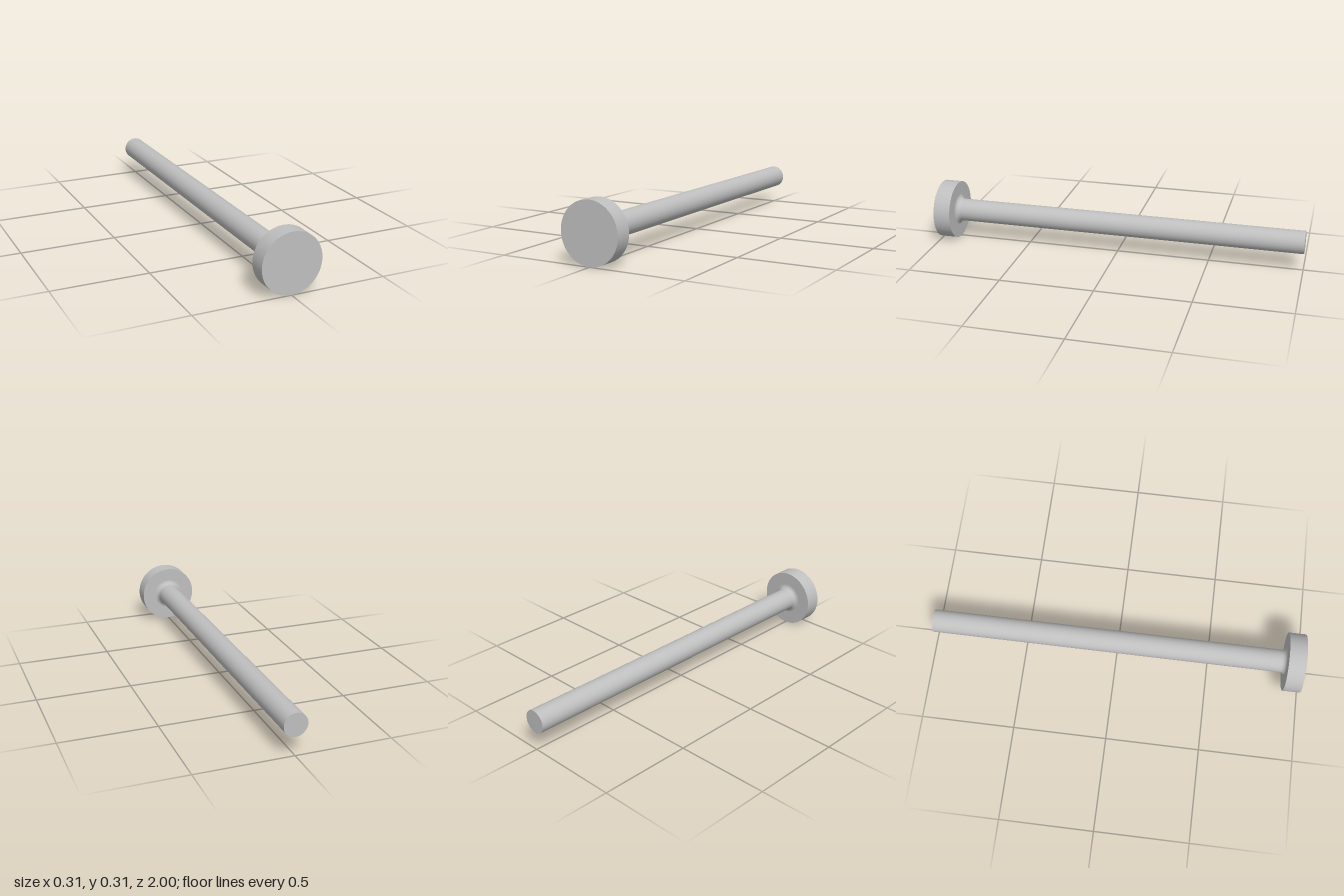
import * as THREE from 'three';

export function createModel() {
  const group = new THREE.Group();
  group.name = 'headedPin';
  const steel = new THREE.MeshStandardMaterial({ color: 0xbfbfbf });
  steel.name = 'steel grey';

  const SEG = 64;
  const headR = 0.157, shaftR = 0.061, filletR = 0.026;
  const back = -1, headBack = 0.908, front = 1;

  // Geometries are made along y, then turned so that y becomes z
  const add = (name, geometry, z = 0) => {
    const mesh = new THREE.Mesh(geometry.rotateX(Math.PI / 2), steel);
    mesh.name = name;
    mesh.position.set(0, headR, z);
    group.add(mesh);
  };

  // Round head
  add('head', new THREE.CylinderGeometry(headR, headR, front - headBack, SEG), (front + headBack) / 2);

  // Straight shaft, ending where the fillet starts
  const shaftEnd = headBack - filletR;
  add('shaft', new THREE.CylinderGeometry(shaftR, shaftR, shaftEnd - back, SEG), (shaftEnd + back) / 2);

  // Concave fillet blending the shaft into the head
  const profile = [];
  for (let i = 0; i <= 12; i++) {
    const a = (i / 12) * Math.PI / 2;
    profile.push(new THREE.Vector2(
      shaftR + filletR * (1 - Math.cos(a)),
      shaftEnd + filletR * Math.sin(a)
    ));
  }
  add('fillet', new THREE.LatheGeometry(profile, SEG));

  return group;
}
